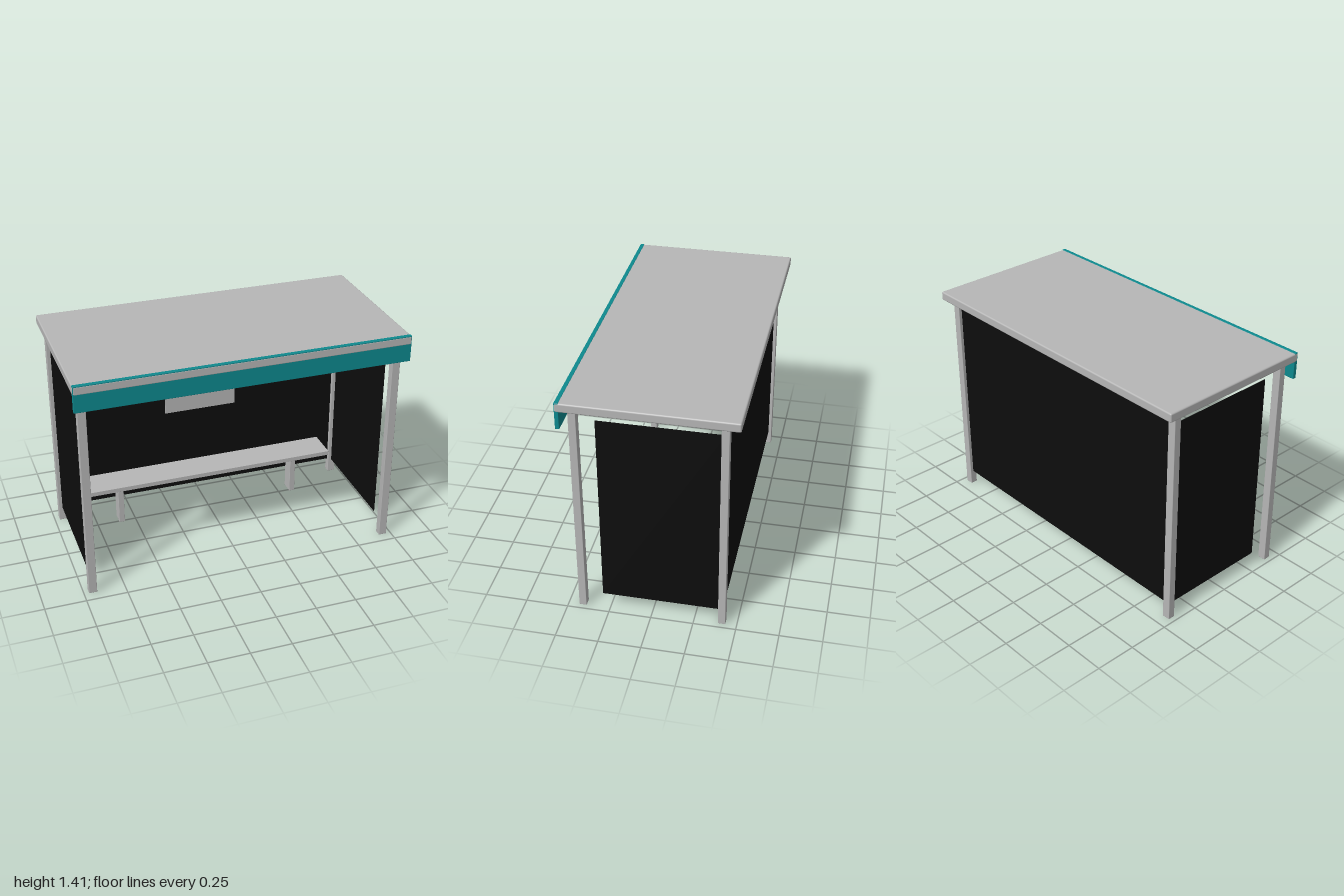
import * as THREE from 'three';
import { RoundedBoxGeometry } from 'three/addons/geometries/RoundedBoxGeometry.js';

const mat = (name, color) => {
  const m = new THREE.MeshStandardMaterial({ color });
  m.name = name;
  return m;
};

export function createModel() {
  const metal = mat('grey metal', 0xb6b6b6);
  const glass = mat('dark glass', 0x0d0d0d);
  const teal = mat('teal trim', 0x0d898e);

  const shelter = new THREE.Group();
  shelter.name = 'busShelter';

  // Box between two corners, with an optional softened edge
  function box(name, material, [x0, y0, z0], [x1, y1, z1], bevel = 0) {
    const size = [x1 - x0, y1 - y0, z1 - z0];
    const geometry = bevel
      ? new RoundedBoxGeometry(...size, 2, bevel)
      : new THREE.BoxGeometry(...size);
    const mesh = new THREE.Mesh(geometry, material);
    mesh.name = name;
    mesh.position.set((x0 + x1) / 2, (y0 + y1) / 2, (z0 + z1) / 2);
    shelter.add(mesh);
  }

  // Roof slab, showing as a strip through the front fascia
  box('roof', metal, [-1, 1.355, -0.498], [1, 1.41, 0.5], 0.009);
  box('fascia', teal, [-0.999, 1.25, 0.475], [0.999, 1.412, 0.499], 0.003);

  for (const side of [-1, 1]) {
    const label = side > 0 ? 'left' : 'right';
    const x = side * 0.945;

    // Corner posts
    for (const [end, z] of [['Front', 0.414], ['Back', -0.412]]) {
      box(label + end + 'Post', metal,
        [x - 0.025, 0, z - 0.022], [x + 0.025, 1.356, z + 0.022], 0.003);
    }

    // Side glazing
    box(label + 'Panel', glass, [x - 0.002, 0.09, -0.412], [x + 0.002, 1.295, 0.295]);

    // Bench leg
    const lx = side * 0.591;
    box(label + 'BenchLeg', metal, [lx - 0.018, 0, -0.323], [lx + 0.018, 0.267, -0.237], 0.002);
  }

  // Back glazing with a notice board on its inner face
  box('backPanel', glass, [-0.945, 0.09, -0.414], [0.945, 1.295, -0.41]);
  box('noticeBoard', metal, [-0.235, 0.65, -0.41], [0.235, 1, -0.404]);

  // Bench seat
  box('benchSeat', metal, [-0.822, 0.266, -0.383], [0.822, 0.296, -0.18], 0.002);

  return shelter;
}
